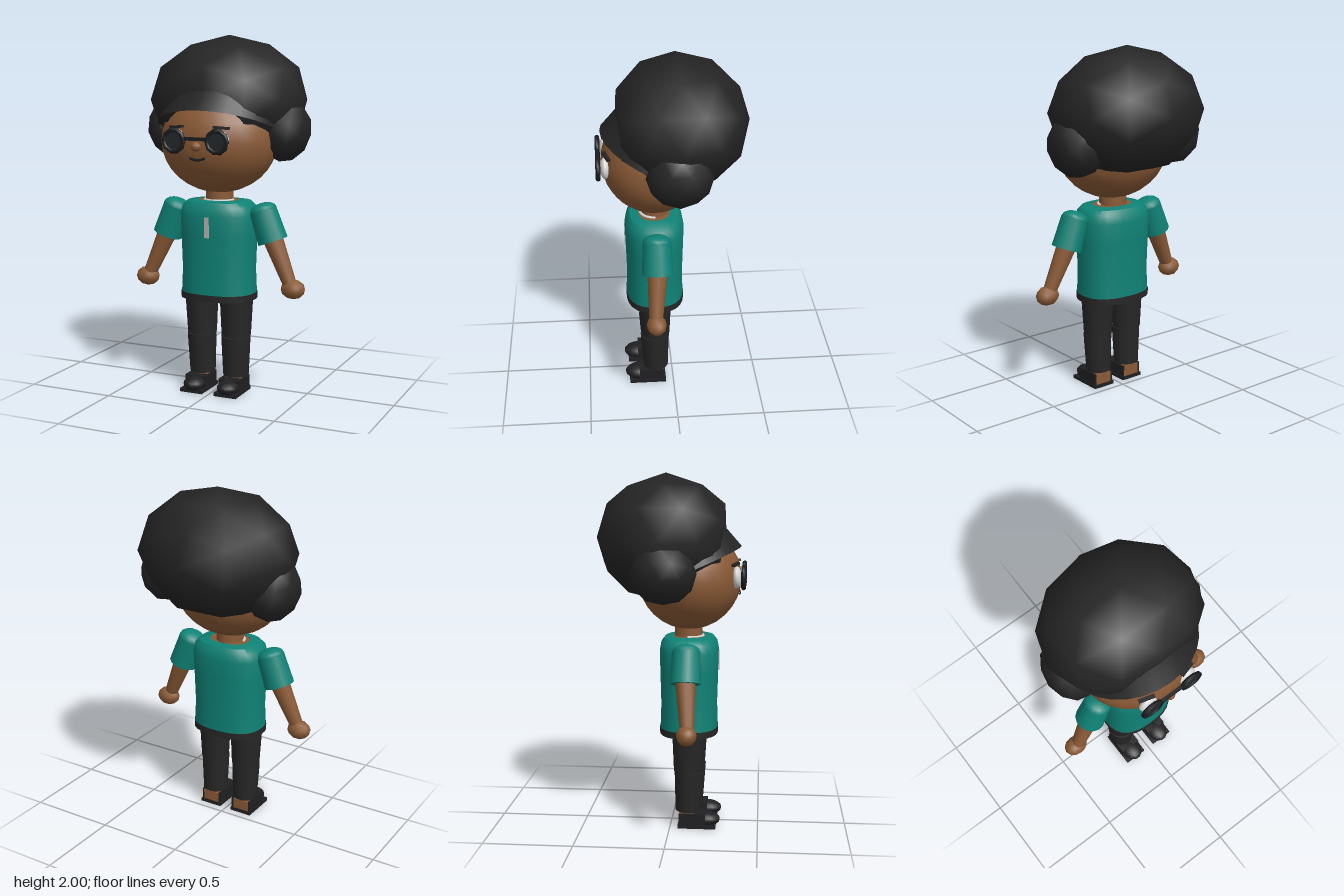
import * as THREE from 'three';
import { toCreasedNormals } from 'three/addons/utils/BufferGeometryUtils.js';

const material = (name, color, side = THREE.FrontSide) => {
  const m = new THREE.MeshStandardMaterial({ color, side });
  m.name = name;
  return m;
};

export function createModel() {
  const model = new THREE.Group();
  model.name = 'figure';
  const hair = material('hair black', 0x242424, THREE.DoubleSide);
  const skin = material('brown skin', 0x8a5a36);
  const teal = material('teal cloth', 0x0f8276, THREE.DoubleSide);
  const trousers = material('charcoal trousers', 0x262626, THREE.DoubleSide);
  const shoeBlack = material('shoe black', 0x202022);
  const frame = material('glasses black', 0x1b1c1e);
  const lens = material('dark lens', 0x24282a);
  const white = material('white', 0xd8d8d8);
  const silver = material('placket grey', 0xb4b0ae);

  const add = (name, geometry, mat, x = 0, y = 0, z = 0) => {
    const mesh = new THREE.Mesh(geometry, mat);
    mesh.name = name;
    mesh.position.set(x, y, z);
    model.add(mesh);
    return mesh;
  };
  const ball = (rx, ry, rz, w = 20, h = 14) => new THREE.SphereGeometry(1, w, h).scale(rx, ry, rz);
  const rough = (rx, ry, rz) => new THREE.IcosahedronGeometry(1, 1).scale(rx, ry, rz);
  // Tapered cylinder between two points
  const limb = (name, a, b, ra, rb, mat, sides = 14) => {
    const p = new THREE.Vector3(...a), q = new THREE.Vector3(...b);
    const dir = q.clone().sub(p);
    const mesh = add(name, new THREE.CylinderGeometry(rb, ra, dir.length(), sides), mat);
    mesh.position.copy(p).add(q).multiplyScalar(0.5);
    mesh.quaternion.setFromUnitVectors(new THREE.Vector3(0, 1, 0), dir.normalize());
    return mesh;
  };
  // Profile [radius, y] swept round a squarish oval
  const ovalLathe = (profile, depth) => {
    const g = new THREE.LatheGeometry(profile.map(([r, y]) => new THREE.Vector2(r, y)), 28);
    const p = g.attributes.position;
    for (let i = 0; i < p.count; i++) {
      const x = p.getX(i), z = p.getZ(i), r = Math.hypot(x, z);
      if (r < 1e-5) continue;
      const c = Math.abs(x / r), s = Math.abs(z / r);
      const k = 1 / Math.pow(c ** 2.5 + s ** 2.5, 1 / 2.5);
      p.setXYZ(i, x * k, p.getY(i), z * k * depth);
    }
    return toCreasedNormals(g, 0.7);
  };

  // Head, neck and face
  add('head', ball(0.33, 0.29, 0.29, 24, 16), skin, 0, 1.42, 0.1);
  limb('neck', [0, 1.0, 0.095], [0, 1.18, 0.095], 0.08, 0.078, skin);
  add('nose', ball(0.028, 0.026, 0.026, 10, 8), skin, 0, 1.405, 0.395);
  const smile = new THREE.QuadraticBezierCurve3(
    new THREE.Vector3(-0.045, 1.345, 0.377),
    new THREE.Vector3(0, 1.32, 0.385),
    new THREE.Vector3(0.045, 1.345, 0.377));
  add('mouth', new THREE.TubeGeometry(smile, 8, 0.007, 6), frame);
  for (const s of [1, -1]) {
    add('eye', ball(0.055, 0.06, 0.028, 14, 10), white, s * 0.127, 1.435, 0.367);
    const brow = add('brow', new THREE.BoxGeometry(0.09, 0.014, 0.02), hair, s * 0.132, 1.507, 0.36);
    brow.rotation.set(0, s * 0.3, -s * 0.08);
    add('glassesRim', new THREE.TorusGeometry(0.058, 0.0135, 8, 10), frame, s * 0.127, 1.435, 0.405);
    add('lens', new THREE.CylinderGeometry(0.056, 0.056, 0.014, 10).rotateX(Math.PI / 2), lens, s * 0.127, 1.435, 0.404);
  }
  add('glassesBridge', new THREE.BoxGeometry(0.13, 0.018, 0.018), frame, 0, 1.447, 0.405);

  // Rounded hair dome, flattened a little at the front
  const dome = rough(0.46, 0.36, 0.39);
  const dp = dome.attributes.position;
  for (let i = 0; i < dp.count; i++) dp.setZ(i, Math.min(dp.getZ(i), 0.34));
  add('hairDome', dome, hair, 0, 1.64, -0.035);
  for (const s of [1, -1]) {
    const puff = add('hairPuff', rough(0.14, 0.175, 0.18), hair, s * 0.345, 1.475, -0.02);
    puff.rotation.z = -s * 0.2;
  }
  // Fringe: inner edge, brim and top edge swept around the forehead
  const rows = [
    { rx: 0.31, rz: 0.26, z: 0.06, y: 1.605 },
    { rx: 0.37, rz: 0.34, z: 0.05, y: 1.597 },
    { rx: 0.34, rz: 0.255, z: 0.045, y: 1.70 },
    { rx: 0.30, rz: 0.20, z: 0.04, y: 1.79 },
  ];
  const fringe = new THREE.PlaneGeometry(1, 1, 16, rows.length - 1);
  const fp = fringe.attributes.position;
  for (let i = 0; i < fp.count; i++) {
    const a = (fp.getX(i) * 2) * 1.75;
    const r = rows[Math.round((fp.getY(i) + 0.5) * (rows.length - 1))];
    fp.setXYZ(i, r.rx * Math.sin(a), r.y - 0.14 * (1 - Math.cos(a)), r.z + r.rz * Math.cos(a));
  }
  add('hairFringe', toCreasedNormals(fringe, 0.8), hair);

  // Shirt, hem and neckline
  add('shirt', ovalLathe([[0.212, 0.565], [0.206, 0.7], [0.213, 0.9], [0.217, 1.01],
    [0.205, 1.06], [0.18, 1.085], [0.115, 1.092]], 0.77), teal, 0, 0, 0.1);
  add('shirtHem', ovalLathe([[0.2, 0.535], [0.215, 0.535], [0.215, 0.572], [0.2, 0.572]], 0.77), trousers, 0, 0, 0.1);
  add('hips', ovalLathe([[0, 0.545], [0.195, 0.55], [0.195, 0.6]], 0.77), skin, 0, 0, 0.1);
  add('upperChest', new THREE.CylinderGeometry(0.12, 0.13, 0.03, 20).scale(1, 1, 0.8), skin, 0, 1.075, 0.1);
  add('undershirtCollar', new THREE.TorusGeometry(0.082, 0.01, 6, 20, Math.PI).rotateX(Math.PI / 2), white, 0, 1.088, 0.095);
  add('placket', new THREE.BoxGeometry(0.026, 0.115, 0.008), silver, 0, 0.952, 0.266);

  for (const s of [1, -1]) {
    // Arms
    limb('sleeve', [s * 0.325, 0.875, 0.1], [s * 0.265, 1.04, 0.1], 0.086, 0.078, teal);
    const cap = add('shoulder', ball(0.078, 0.045, 0.078, 14, 10), teal, s * 0.265, 1.04, 0.1);
    cap.rotation.z = s * 0.35;
    limb('forearm', [s * 0.44, 0.63, 0.118], [s * 0.32, 0.9, 0.1], 0.037, 0.057, skin, 12);
    add('hand', rough(0.07, 0.056, 0.056), skin, s * 0.45, 0.62, 0.115);

    // Legs, with a seam at the knee
    limb('upperLeg', [s * 0.106, 0.325, 0.103], [s * 0.108, 0.56, 0.105], 0.083, 0.095, trousers, 16);
    limb('lowerLeg', [s * 0.104, 0.095, 0.102], [s * 0.106, 0.32, 0.108], 0.073, 0.083, trousers, 16);
    limb('knee', [s * 0.106, 0.3, 0.1], [s * 0.106, 0.34, 0.1], 0.077, 0.077, trousers, 16);
    limb('ankle', [s * 0.104, 0.03, 0.1], [s * 0.104, 0.12, 0.1], 0.05, 0.05, skin, 12);

    // Slip-on shoes with an open heel
    add('sole', new THREE.BoxGeometry(0.135, 0.02, 0.215), shoeBlack, s * 0.104, 0.01, 0.153);
    add('heel', new THREE.BoxGeometry(0.105, 0.06, 0.08), skin, s * 0.104, 0.05, 0.092);
    add('shoeToe', ball(0.064, 0.042, 0.085, 14, 10), shoeBlack, s * 0.104, 0.043, 0.2);
    for (const e of [1, -1])
      add('shoeSide', new THREE.BoxGeometry(0.012, 0.07, 0.15), shoeBlack, s * 0.104 + e * 0.057, 0.05, 0.127);
    add('shoeVamp', new THREE.BoxGeometry(0.112, 0.065, 0.06), shoeBlack, s * 0.104, 0.05, 0.172);
  }
  return model;
}
